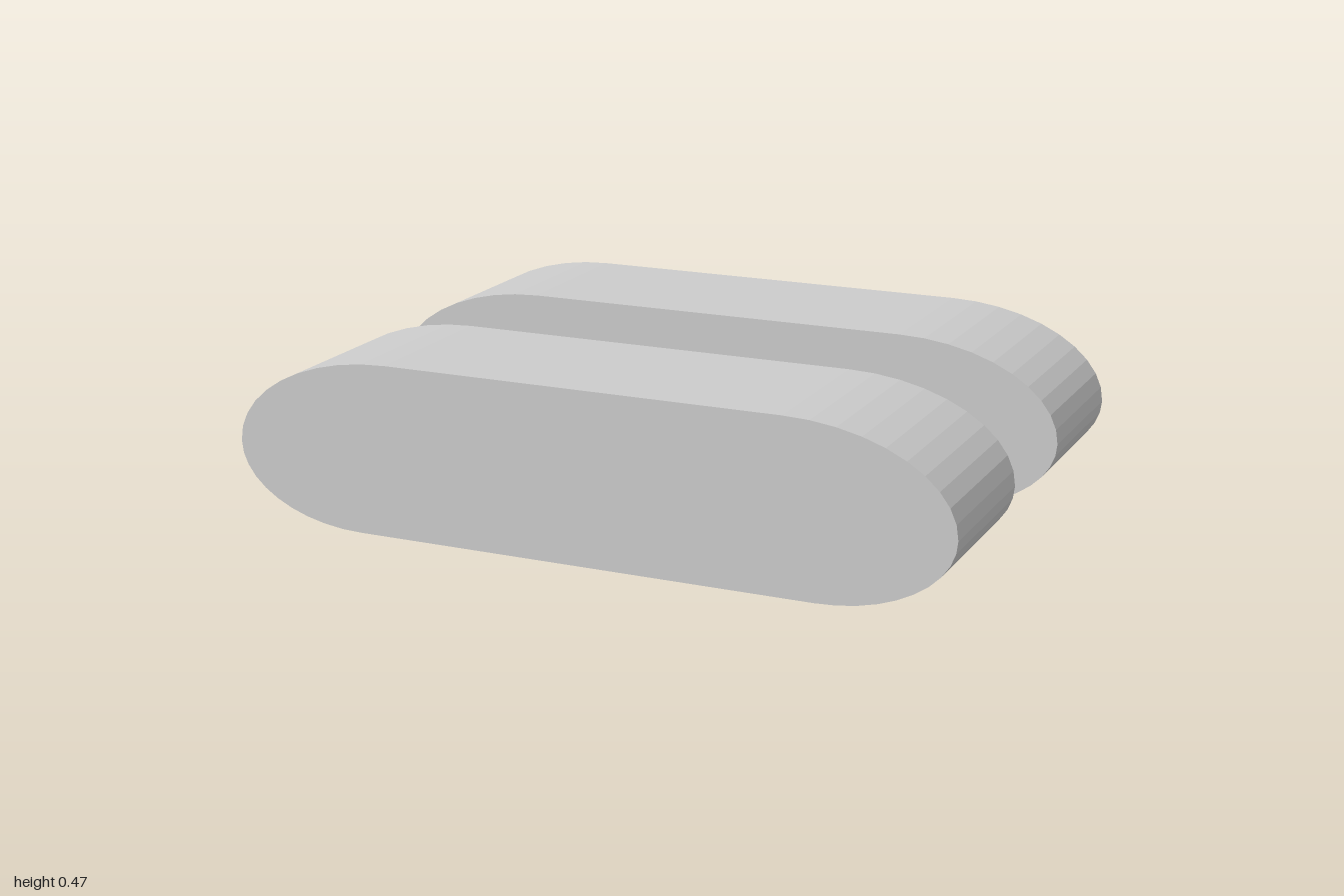
import * as THREE from 'three';

export function createModel() {
  const group = new THREE.Group();
  group.name = 'trackPair';
  const material = new THREE.MeshStandardMaterial({ color: 0xcccccc, flatShading: true });

  // Side profile: flat top and bottom, ends made of two elliptical quarters
  const height = 0.465, mid = 0.21, topFlat = 0.55, bottomFlat = 0.64, steps = 10;
  const end = [];
  for (let i = 0; i <= 2 * steps; i++) {
    const a = -Math.PI / 2 + (i / steps) * (Math.PI / 2);
    const flat = i < steps ? bottomFlat : topFlat;
    const rise = i < steps ? mid : height - mid;
    end.push(new THREE.Vector2(flat + (1 - flat) * Math.cos(a), mid + rise * Math.sin(a)));
  }
  const mirrored = end.map((p) => new THREE.Vector2(-p.x, p.y)).reverse();
  const profile = new THREE.Shape([...end, ...mirrored]);

  // Two identical solid tracks, one on each side of the gap
  const width = 0.46;
  const geometry = new THREE.ExtrudeGeometry(profile, { depth: width, bevelEnabled: false });
  geometry.translate(0, 0, -width / 2);
  for (const [name, z] of [['frontTrack', 0.425], ['backTrack', -0.425]]) {
    const track = new THREE.Mesh(geometry, material);
    track.name = name;
    track.position.z = z;
    group.add(track);
  }
  return group;
}
